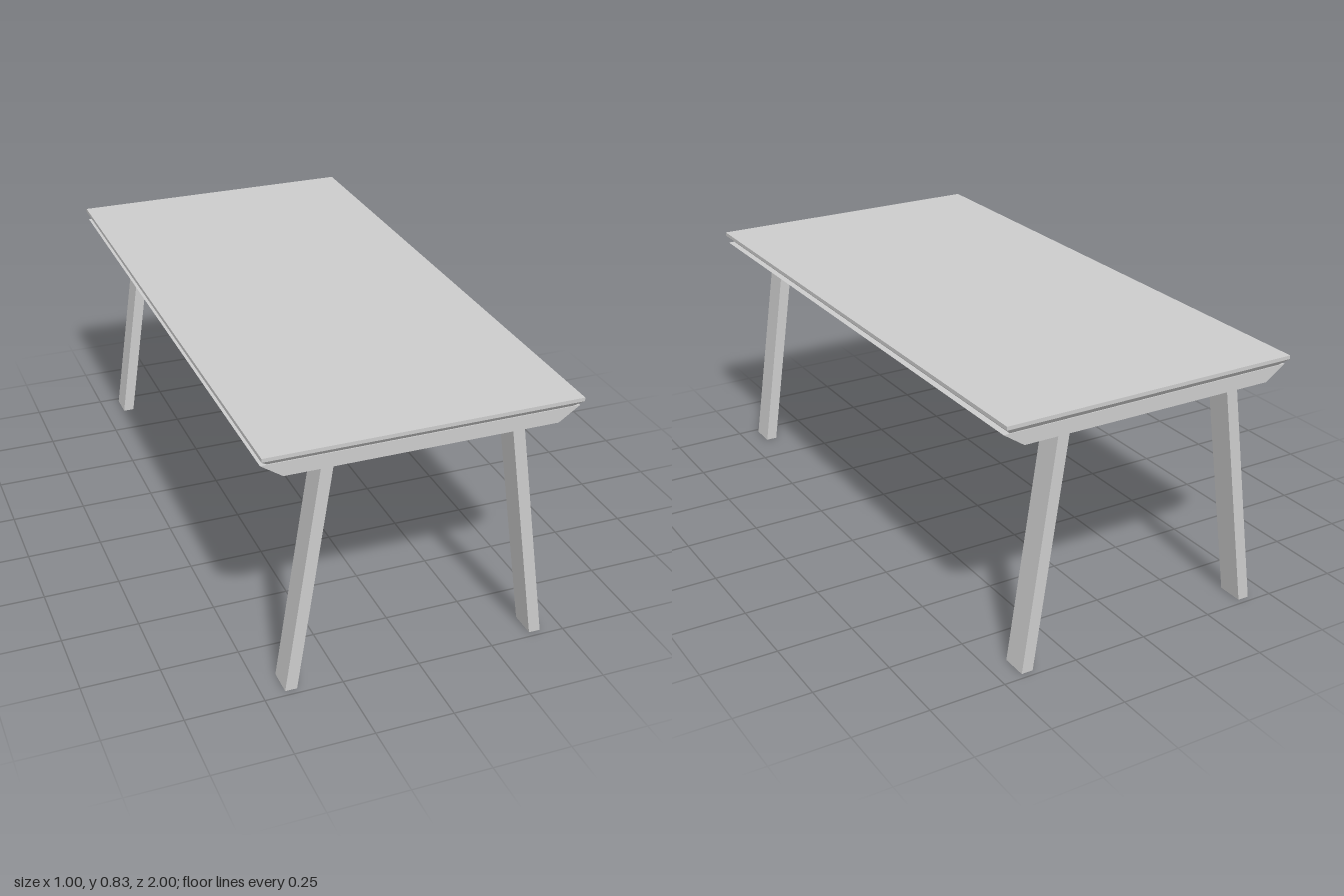
import * as THREE from 'three';

const material = new THREE.MeshStandardMaterial({ color: 0xcccccc, flatShading: true });

// Heights of the layers, from the floor up
const FRAME_BOTTOM = 0.75, FRAME_TOP = 0.796, SLAB_BOTTOM = 0.818, TOP = 0.83;
// Frame: half length, and half size of its inner opening
const FRAME_Z = 0.98, OPEN_X = 0.32, OPEN_Z = 0.893;

function add(parent, name, geometry) {
  const mesh = new THREE.Mesh(geometry, material);
  mesh.name = name;
  parent.add(mesh);
  return mesh;
}

// Box centred on x and z between two heights
function slab(width, y0, y1, depth) {
  return new THREE.BoxGeometry(width, y1 - y0, depth).translate(0, (y0 + y1) / 2, 0);
}

// Extrudes an xy outline from z0 to z1, mirrored in x when side is -1
function prism(points, side, z0, z1) {
  const shape = new THREE.Shape(points.map(([x, y]) => new THREE.Vector2(x * side, y)));
  return new THREE.ExtrudeGeometry(shape, { depth: z1 - z0, bevelEnabled: false }).translate(0, 0, z0);
}

export function createModel() {
  const table = new THREE.Group();
  table.name = 'table';

  // Tabletop: thin slab over a layer tapering inwards to the frame
  const tabletop = new THREE.Group();
  tabletop.name = 'tabletop';
  table.add(tabletop);
  add(tabletop, 'topSlab', slab(1, SLAB_BOTTOM, TOP, 2));
  const bevel = slab(1, FRAME_TOP, SLAB_BOTTOM, 2);
  const p = bevel.attributes.position;
  for (let i = 0; i < p.count; i++) {
    if (p.getY(i) < (FRAME_TOP + SLAB_BOTTOM) / 2) {
      p.setX(i, Math.sign(p.getX(i)) * 0.477);
      p.setZ(i, Math.sign(p.getZ(i)) * 0.977);
    }
  }
  bevel.computeVertexNormals();
  add(tabletop, 'bevelledUnderside', bevel);

  // Frame: slanted side rails joined by end rails
  const frame = new THREE.Group();
  frame.name = 'frame';
  table.add(frame);
  const railProfile = [[OPEN_X, FRAME_BOTTOM], [0.43, FRAME_BOTTOM], [0.498, FRAME_TOP], [OPEN_X, FRAME_TOP]];
  for (const side of [-1, 1]) {
    add(frame, side > 0 ? 'leftRail' : 'rightRail', prism(railProfile, side, -FRAME_Z, FRAME_Z));
    const endRail = slab(2 * OPEN_X, FRAME_BOTTOM, FRAME_TOP, FRAME_Z - OPEN_Z);
    add(frame, side > 0 ? 'frontRail' : 'backRail', endRail).position.z = side * (FRAME_Z + OPEN_Z) / 2;
  }

  // Four legs splayed sideways, cut level at floor and frame
  const legProfile = [[0.391, 0], [0.429, 0], [0.319, FRAME_BOTTOM], [0.281, FRAME_BOTTOM]];
  for (const side of [-1, 1]) {
    for (const end of [-1, 1]) {
      const z0 = end > 0 ? OPEN_Z : -FRAME_Z;
      const name = (end > 0 ? 'front' : 'back') + (side > 0 ? 'Left' : 'Right') + 'Leg';
      add(table, name, prism(legProfile, side, z0, z0 + FRAME_Z - OPEN_Z));
    }
  }
  return table;
}
